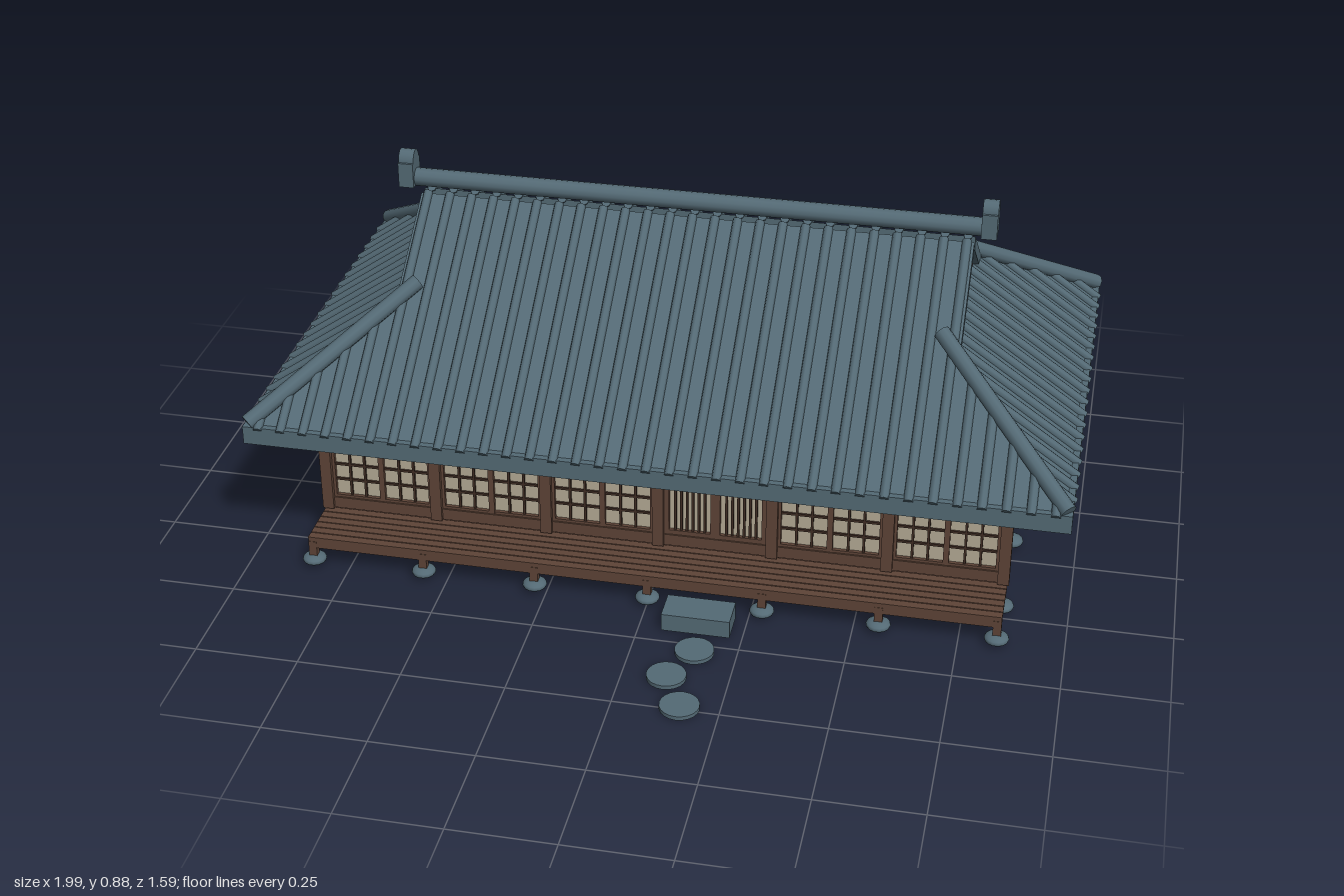
import * as THREE from 'three';

const mat = (name, color) => Object.assign(new THREE.MeshStandardMaterial({ color }), { name });

export function createModel() {
  const tile = mat('slate tile', 0x546a75), wood = mat('timber', 0x5e4437);
  const dark = mat('dark lattice timber', 0x3e2c23), plaster = mat('plaster', 0x8aa09c);
  const paper = mat('paper', 0xb4ab95);
  const model = new THREE.Group();
  model.name = 'house';
  const CZ = -0.21; // centre line of the house

  const group = (name, parent = model) => {
    const g = new THREE.Group();
    g.name = name;
    parent.add(g);
    return g;
  };
  const mesh = (parent, name, geo, m, x = 0, y = 0, z = 0) => {
    const o = new THREE.Mesh(geo, m);
    o.name = name;
    o.position.set(x, y, z);
    parent.add(o);
    return o;
  };
  // box from its minimum and maximum corners
  const box = (parent, name, m, x0, x1, y0, y1, z0, z1) => mesh(parent, name,
    new THREE.BoxGeometry(x1 - x0, y1 - y0, z1 - z0), m, (x0 + x1) / 2, (y0 + y1) / 2, (z0 + z1) / 2);
  // round rod between two points
  const rod = (parent, name, m, a, b, r, sides = 8) => {
    const d = b.clone().sub(a);
    const o = mesh(parent, name, new THREE.CylinderGeometry(r, r, d.length(), sides), m);
    o.position.copy(a).add(b).multiplyScalar(0.5);
    o.quaternion.setFromUnitVectors(new THREE.Vector3(0, 1, 0), d.normalize());
    return o;
  };
  const V = (x, y, z) => new THREE.Vector3(x, y, z);

  // paper panel with a lattice, facing +z, lower left corner at x, y
  const lattice = (parent, name, x, y, w, h, cols, rows, frame, bar) => {
    const g = group(name, parent);
    g.position.set(x, y, 0);
    box(g, 'paper', paper, 0, w, 0, h, 0, 0.006);
    for (const p of [0, w - frame]) box(g, 'stile', wood, p, p + frame, 0, h, 0, 0.016);
    for (const p of [0, h - frame]) box(g, 'rail', wood, 0, w, p, p + frame, 0, 0.015);
    const iw = w - 2 * frame, ih = h - 2 * frame;
    for (let i = 1; i < cols; i++) {
      const c = frame + iw * i / cols;
      box(g, 'verticalBar', dark, c - bar / 2, c + bar / 2, frame, h - frame, 0, 0.012);
    }
    for (let i = 1; i < rows; i++) {
      const c = frame + ih * i / rows;
      box(g, 'crossBar', dark, frame, w - frame, c - bar / 2, c + bar / 2, 0, 0.011);
    }
    return g;
  };

  // wall core
  const walls = group('walls');
  box(walls, 'floorFrame', wood, -0.84, 0.84, 0.025, 0.085, CZ - 0.415, CZ + 0.42);
  box(walls, 'wainscot', wood, -0.835, 0.835, 0.085, 0.19, CZ - 0.412, CZ + 0.415);
  box(walls, 'plasterWall', plaster, -0.83, 0.83, 0.19, 0.44, CZ - 0.41, CZ + 0.41);

  // posts, lintels and foot stones
  const postX = [-0.84, -0.56, -0.28, 0, 0.28, 0.56, 0.84];
  const postZ = [0.22, -0.065, -0.345, -0.63];
  const frame = group('frame'), stones = group('footStones');
  const post = (x, z) => box(frame, 'post', wood, x - 0.014, x + 0.014, 0.085, 0.44, z - 0.012, z + 0.012);
  const stoneGeo = new THREE.SphereGeometry(0.03, 14, 8).scale(1, 0.45, 1);
  const stone = (x, z) => mesh(stones, 'footStone', stoneGeo, tile, x, 0.0175, z);
  for (const x of postX) {
    post(x, 0.222);
    post(x, -0.628);
    for (const z of [0.355, 0.22, -0.63]) stone(x, z);
  }
  for (const x of [-0.84, 0.84]) for (const z of postZ.slice(1, 3)) {
    post(x, z);
    stone(x, z);
  }
  for (const [z0, z1] of [[0.2, 0.228], [-0.634, -0.61]])
    box(frame, 'lintel', wood, -0.84, 0.84, 0.345, 0.367, z0, z1);
  for (const s of [-1, 1])
    box(frame, 'sideLintel', wood, s * 0.835 - 0.01, s * 0.835 + 0.01, 0.345, 0.367, -0.62, 0.22);
  box(frame, 'frontSill', wood, -0.84, 0.84, 0.085, 0.115, 0.2, 0.225);

  // paper screens and slatted door along the front
  const front = group('frontScreens');
  front.position.z = 0.206;
  for (let i = 0; i < 6; i++) {
    const x = postX[i] + 0.014;
    for (let k = 0; k < 2; k++) {
      const px = x + k * 0.126;
      if (i === 3) lattice(front, 'slattedDoor', px, 0.115, 0.126, 0.23, 7, 1, 0.012, 0.006);
      else lattice(front, 'paperScreen', px, 0.115, 0.126, 0.23, 3, 5, 0.007, 0.006);
    }
  }

  // side and back windows
  const windowAt = (x, z, turn) => {
    const holder = group('window');
    holder.position.set(x, 0, z);
    holder.rotation.y = turn;
    lattice(holder, 'latticeWindow', -0.1, 0.21, 0.2, 0.12, 5, 3, 0.01, 0.005);
  };
  for (const s of [-1, 1]) {
    windowAt(s * 0.83, -0.205, s * Math.PI / 2);
    windowAt(s * 0.42, -0.62, Math.PI);
  }

  // veranda deck on short legs
  const veranda = group('veranda');
  for (let i = 0; i < 6; i++) {
    const z = 0.222 + i * 0.024;
    box(veranda, 'plank', wood, -0.85, 0.85, 0.07, 0.082, z, z + 0.021);
  }
  box(veranda, 'edgeBeam', wood, -0.845, 0.845, 0.052, 0.07, 0.347, 0.363);
  for (const x of postX) {
    box(veranda, 'leg', wood, x - 0.01, x + 0.01, 0.02, 0.07, 0.346, 0.364);
    box(veranda, 'joist', wood, x - 0.008, x + 0.008, 0.06, 0.071, 0.21, 0.355);
  }

  // step block and stepping stones
  box(model, 'stepBlock', tile, 0.055, 0.22, 0, 0.045, 0.375, 0.458);
  for (const [x, z] of [[0.15, 0.53], [0.105, 0.637], [0.157, 0.742]])
    mesh(model, 'steppingStone', new THREE.CylinderGeometry(0.047, 0.047, 0.01, 20), tile, x, 0.005, z);

  // roof: each slope is drawn as (along eave, run inward), then lifted by the pitch
  const roof = group('roof');
  roof.position.z = CZ;
  const PITCH = 0.7, EAVE = 0.375, THICK = 0.036;
  const slope = (name, turn, half, depth, topHalf, topRun) => {
    const g = group(name, roof);
    g.rotation.y = turn;
    const bend = half - topHalf;
    const outline = [[-half, 0], [half, 0], [topHalf, bend], [topHalf, topRun], [-topHalf, topRun], [-topHalf, bend]];
    if (bend >= topRun) outline.splice(3, 3, [-topHalf, topRun]);
    const geo = new THREE.ExtrudeGeometry(new THREE.Shape(outline.map(p => new THREE.Vector2(...p))),
      { depth: THICK, bevelEnabled: false });
    const p = geo.attributes.position;
    for (let i = 0; i < p.count; i++) {
      const s = p.getY(i);
      p.setXYZ(i, p.getX(i), EAVE + PITCH * s + p.getZ(i) - THICK, depth - s);
    }
    geo.computeVertexNormals();
    mesh(g, 'roofSlab', geo, tile);
    box(g, 'eaveBoard', tile, -half, half, 0.36, 0.386, depth - 0.025, depth);
    const n = Math.floor((half - 0.03) / 0.056);
    for (let i = -n; i <= n; i++) {
      const u = i * 0.056;
      const run = Math.abs(u) <= topHalf ? topRun : half - Math.abs(u);
      rod(g, 'tileRib', tile, V(u, EAVE + 0.004, depth), V(u, EAVE + 0.004 + PITCH * run, depth - run), 0.0115);
    }
  };
  slope('frontSlope', 0, 0.99, 0.58, 0.69, 0.565);
  slope('backSlope', Math.PI, 0.99, 0.58, 0.69, 0.565);
  slope('leftSkirt', Math.PI / 2, 0.58, 0.99, 0.23, 0.35);
  slope('rightSkirt', -Math.PI / 2, 0.58, 0.99, 0.23, 0.35);

  // hips, gables and ridge ends
  for (const s of [-1, 1]) {
    const gable = new THREE.Shape([[-0.24, 0.575], [0.24, 0.575], [0, 0.745]].map(p => new THREE.Vector2(...p)));
    const wall = mesh(roof, 'gableWall', new THREE.ExtrudeGeometry(gable, { depth: 0.02, bevelEnabled: false }),
      plaster, s * 0.63 - 0.01);
    wall.rotation.y = Math.PI / 2;
    for (const t of [-1, 1]) {
      rod(roof, 'hipRidge', tile, V(s * 0.98, 0.392, t * 0.57), V(s * 0.642, 0.637, t * 0.232), 0.02, 10);
      // barge board under the roof edge
      const barge = mesh(roof, 'bargeBoard', new THREE.BoxGeometry(0.02, 0.016, 0.28), wood,
        s * 0.665, 0.655, t * 0.117);
      barge.rotation.x = t * Math.atan(PITCH);
    }
    box(roof, 'ridgeEnd', tile, s * 0.724 - 0.019, s * 0.724 + 0.019, 0.788, 0.852, -0.03, 0.03);
    const cap = mesh(roof, 'ridgeEndCap', new THREE.CylinderGeometry(0.03, 0.03, 0.038, 16).scale(1, 1, 0.8),
      tile, s * 0.724, 0.85);
    cap.rotation.z = Math.PI / 2;
  }
  rod(roof, 'ridge', tile, V(-0.71, 0.807, 0), V(0.71, 0.807, 0), 0.023, 12);
  return model;
}
